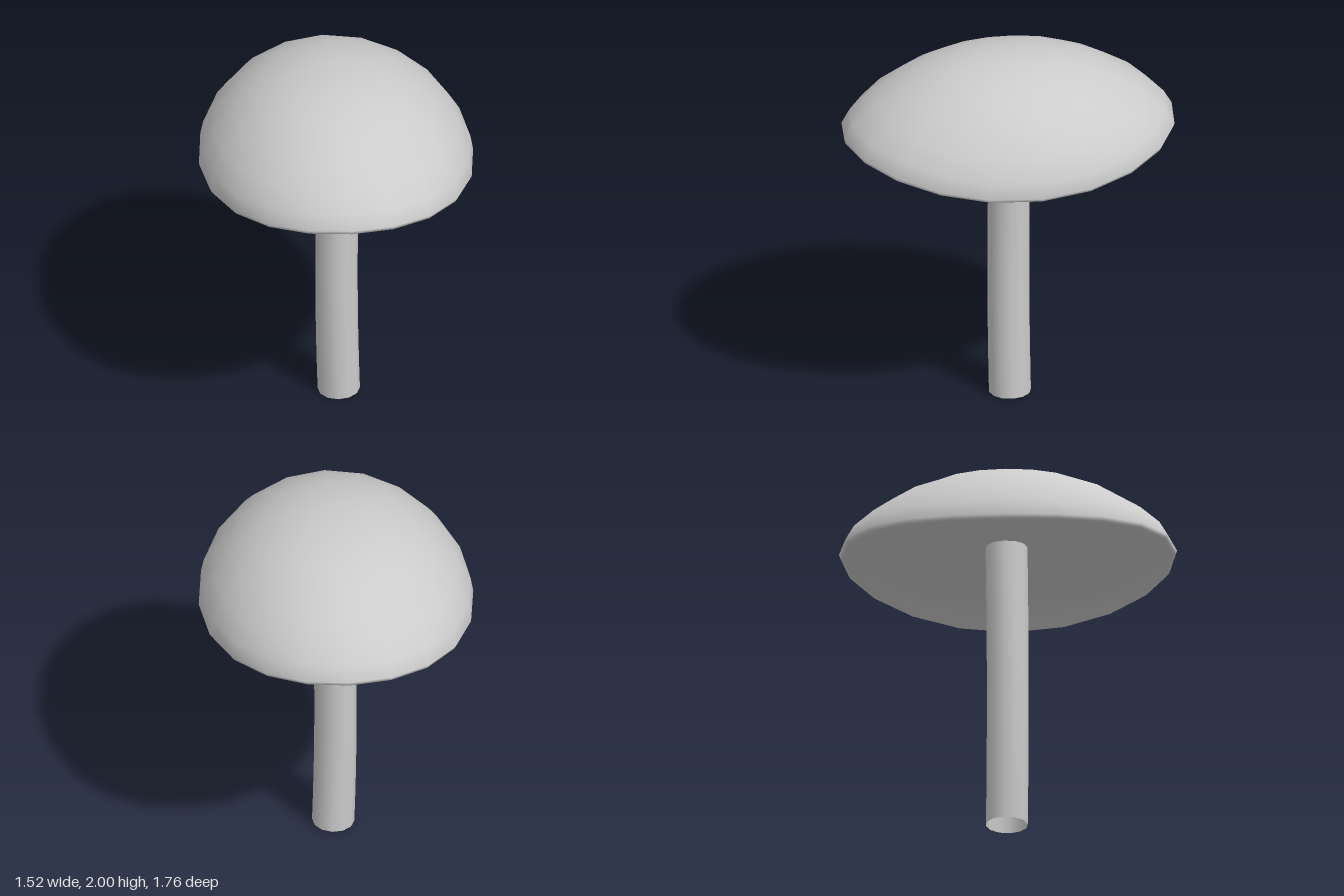
import * as THREE from 'three';
import { mergeVertices } from 'three/addons/utils/BufferGeometryUtils.js';

const material = new THREE.MeshStandardMaterial({ color: 0xcccccc, side: THREE.DoubleSide });

// Cap profile from underside centre, round the lip, up to the crown: [relative radius, height]
const PROFILE = [
  [0, 1.635], [0.4, 1.635], [0.7, 1.63], [0.85, 1.615], [0.94, 1.588],
  [0.975, 1.574], [0.992, 1.578], [1, 1.6], [0.95, 1.676], [0.83, 1.773],
  [0.663, 1.866], [0.5, 1.93], [0.33, 1.974], [0.17, 1.994], [0, 2],
];

const BEND_RADIUS = 2.45;
const BEND_HEIGHT = 1.58;

// Oval dome, bent down along both long sides and turned on the stem
function makeCap() {
  const points = PROFILE.map(([r, y]) => new THREE.Vector2(r, y));
  const lathe = new THREE.LatheGeometry(points, 20, Math.PI / 10);
  lathe.scale(0.74, 1, 0.902);
  const pos = lathe.attributes.position;
  for (let i = 0; i < pos.count; i++) {
    const angle = pos.getX(i) / BEND_RADIUS;
    const radius = BEND_RADIUS + pos.getY(i) - BEND_HEIGHT;
    pos.setX(i, radius * Math.sin(angle));
    pos.setY(i, BEND_HEIGHT - BEND_RADIUS + radius * Math.cos(angle));
  }
  lathe.rotateY(-0.403);
  lathe.deleteAttribute('uv');
  lathe.deleteAttribute('normal');
  const geometry = mergeVertices(lathe, 1e-4);
  geometry.computeVertexNormals();
  const cap = new THREE.Mesh(geometry, material);
  cap.name = 'cap';
  return cap;
}

// Slightly bowed, open-ended stem
function makeStem() {
  const points = [];
  for (let i = 0; i <= 6; i++) {
    const y = 0.006 + (1.66 * i) / 6;
    points.push(new THREE.Vector3(0.003 + 0.014 * ((y - 0.75) / 0.75) ** 2, y, 0));
  }
  const path = new THREE.CatmullRomCurve3(points);
  const stem = new THREE.Mesh(new THREE.TubeGeometry(path, 10, 0.113, 12, false), material);
  stem.name = 'stem';
  return stem;
}

export function createModel() {
  const group = new THREE.Group();
  group.name = 'mushroom';
  group.add(makeStem(), makeCap());
  return group;
}
